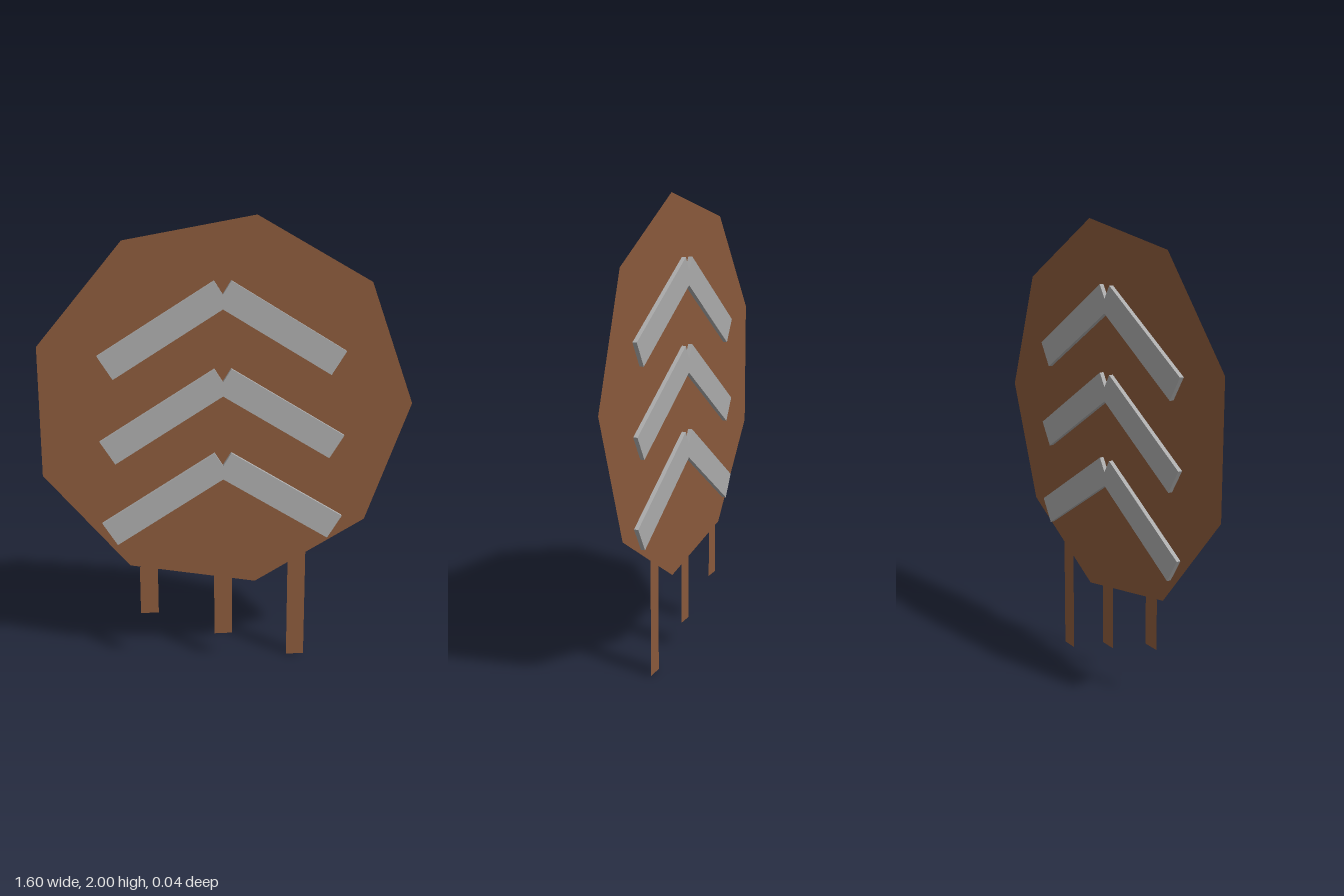
import * as THREE from 'three';

export function createModel() {
  const model = new THREE.Group();
  const brown = new THREE.MeshStandardMaterial({ color: 0x8b5a3c, side: THREE.DoubleSide });
  brown.name = 'brown wood';
  const grey = new THREE.MeshStandardMaterial({ color: 0xacacac });
  grey.name = 'grey bars';

  const add = (name, geometry, material, x, y, parent = model) => {
    const mesh = new THREE.Mesh(geometry, material);
    mesh.name = name;
    mesh.position.set(x, y, 0);
    parent.add(mesh);
    return mesh;
  };

  const axis = -0.026; // middle line of the panel

  // Nine-sided flat panel
  add('panel', new THREE.CircleGeometry(0.825, 9), brown, axis, 1.187);

  // Flat legs of uneven length: [centre x, bottom, top]
  const legs = [[-0.357, 0.237, 0.464], [axis, 0.12, 0.41], [0.305, 0, 0.508]];
  for (const [x, bottom, top] of legs) {
    add('leg', new THREE.PlaneGeometry(0.08, top - bottom), brown, x, (top + bottom) / 2);
  }

  // Three chevrons, each of two crossing bars that stand out on both faces
  const bar = new THREE.BoxGeometry(0.58, 0.12, 0.037);
  const tilt = THREE.MathUtils.degToRad(32);
  for (let i = 0; i < 3; i++) {
    const chevron = new THREE.Group();
    chevron.name = 'chevron';
    chevron.position.set(axis, 0.784 + i * 0.373, 0);
    for (const side of [-1, 1]) {
      const name = side > 0 ? 'leftBar' : 'rightBar';
      add(name, bar, grey, side * 0.25, 0, chevron).rotation.z = -side * tilt;
    }
    model.add(chevron);
  }
  return model;
}
